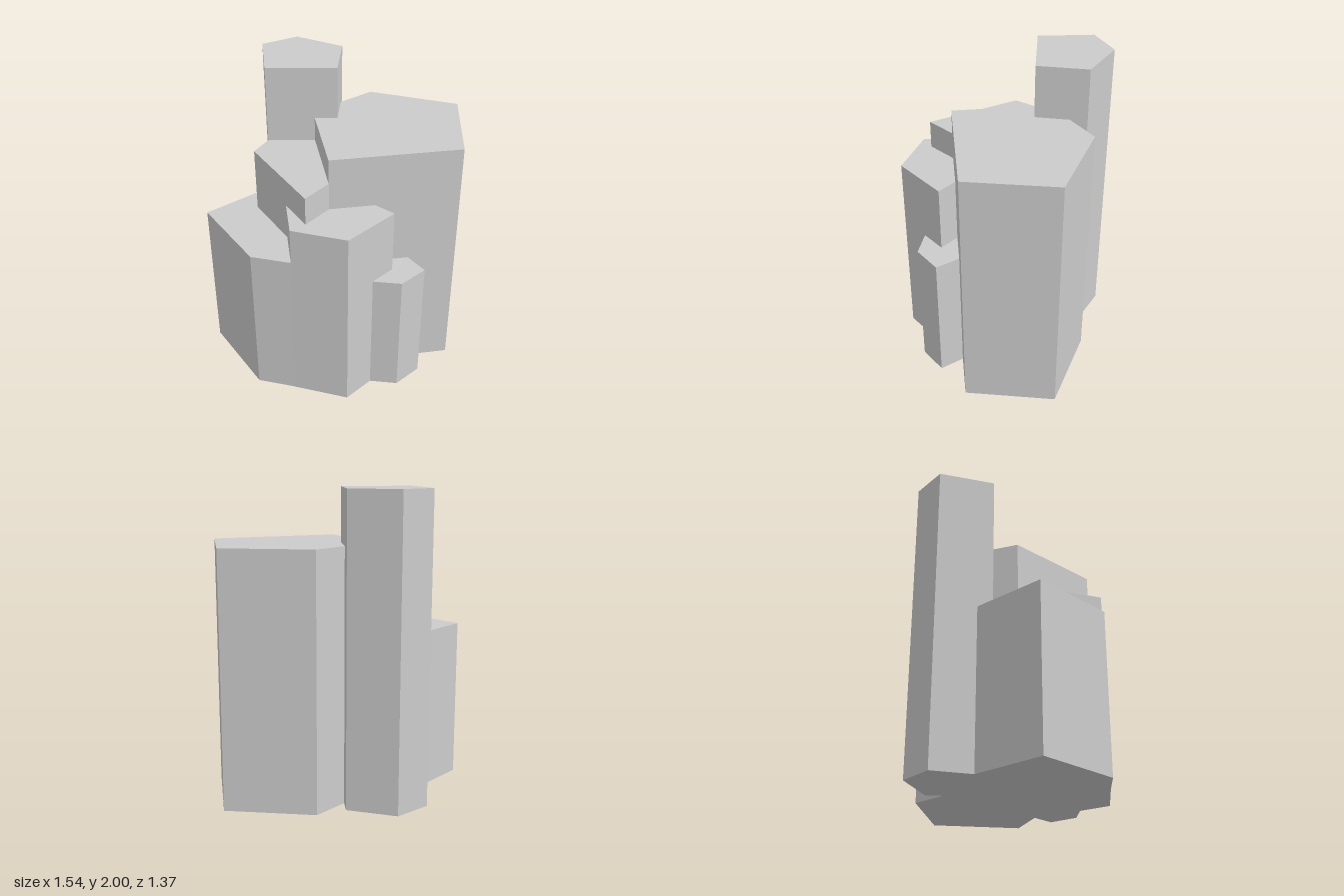
import * as THREE from 'three';

// Each column: name, height, and pentagon footprint as [x, z] corners
const COLUMNS = [
  ['tallColumn', 2.0, [[-0.54, -0.49], [-0.205, -0.48], [-0.09, -0.17], [-0.495, 0.025], [-0.688, -0.285]]],
  ['wideBackColumn', 1.653, [[-0.05, -0.6], [0.535, -0.685], [0.77, -0.147], [0.09, 0.325], [-0.272, -0.177]]],
  ['middleColumn', 1.49, [[-0.507, 0.187], [0.036, 0.53], [0.13, 0.18], [-0.25, -0.15], [-0.49, -0.03]]],
  ['frontLowColumn', 1.063, [[-0.772, 0.39], [-0.274, 0.68], [0.05, 0.611], [-0.1, -0.1], [-0.5, -0.155]]],
  ['frontColumn', 1.305, [[-0.02, 0.627], [0.335, 0.565], [0.47, 0.192], [0.05, 0.1], [-0.22, 0.32]]],
  ['smallSideColumn', 0.873, [[0.66, 0.11], [0.582, 0.3], [0.37, 0.372], [0.33, 0.17], [0.42, -0.017]]],
];

// Upright prism standing on y = 0
function prism(height, corners) {
  const shape = new THREE.Shape(corners.map(([x, z]) => new THREE.Vector2(x, -z)));
  const geometry = new THREE.ExtrudeGeometry(shape, { depth: height, bevelEnabled: false });
  return geometry.rotateX(-Math.PI / 2);
}

export function createModel() {
  const group = new THREE.Group();
  group.name = 'basaltColumns';
  const stone = new THREE.MeshStandardMaterial({ color: 0xcccccc, flatShading: true });
  for (const [name, height, corners] of COLUMNS) {
    const mesh = new THREE.Mesh(prism(height, corners), stone);
    mesh.name = name;
    group.add(mesh);
  }
  return group;
}
